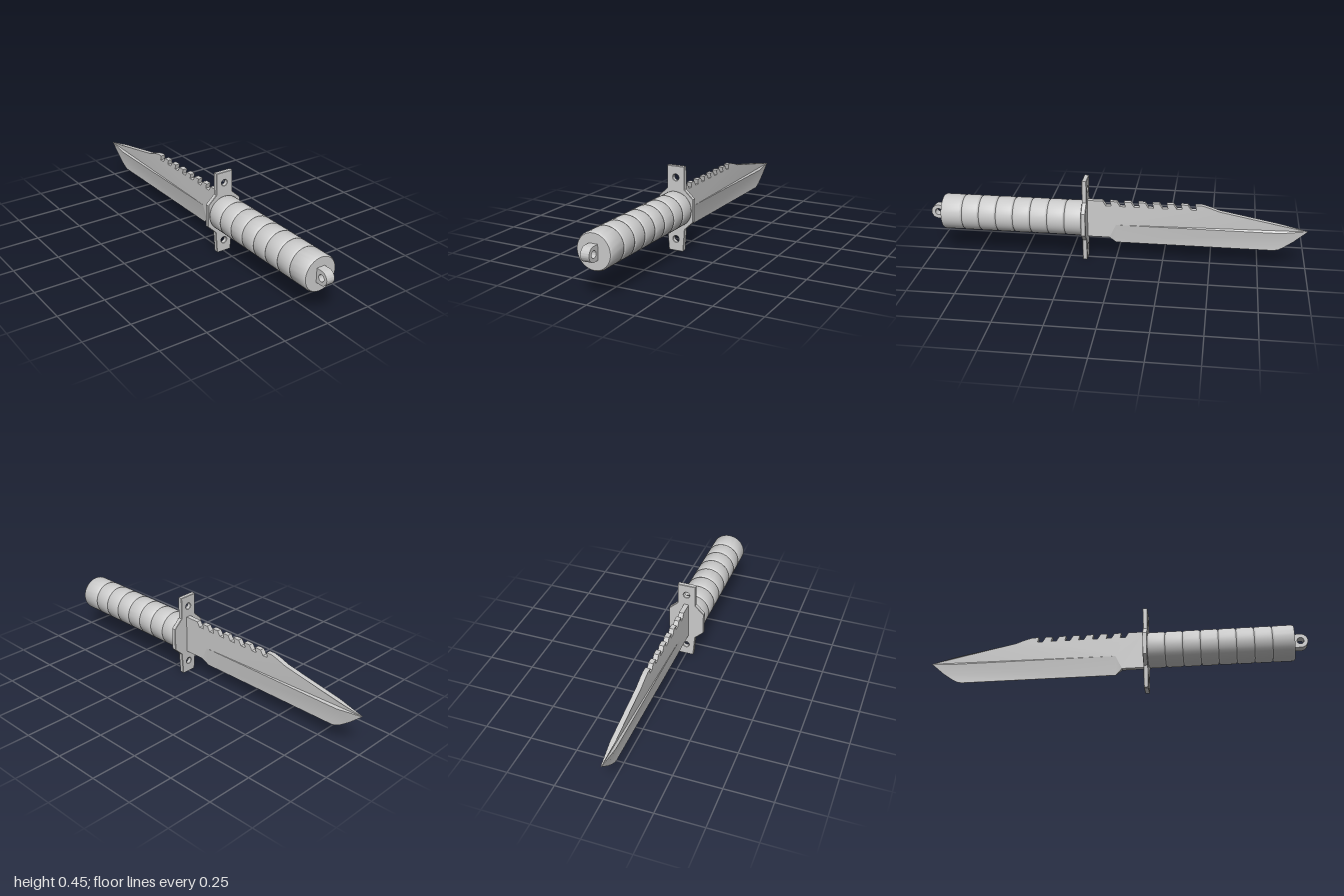
import * as THREE from 'three';
import { toCreasedNormals } from 'three/addons/utils/BufferGeometryUtils.js';

const AXIS_Y = 0.228; // height of the handle axis
const material = new THREE.MeshStandardMaterial({ color: 0xcccccc });

function addMesh(group, name, geometry, crease = 0.6) {
  const mesh = new THREE.Mesh(toCreasedNormals(geometry, crease), material);
  mesh.name = name;
  group.add(mesh);
}

function circleHole(x, y, r) {
  const path = new THREE.Path();
  path.absarc(x, y, r, 0, Math.PI * 2, true);
  return path;
}

// Extrudes a side outline of [z, y] points; halfWidth(z, y) sets the thickness at each point.
function sideSlab(points, halfWidth) {
  const shape = new THREE.Shape(points.map(([z, y]) => new THREE.Vector2(-z, y)));
  const g = new THREE.ExtrudeGeometry(shape, { depth: 1, bevelEnabled: false });
  g.translate(0, 0, -0.5).rotateY(Math.PI / 2);
  const p = g.attributes.position;
  for (let i = 0; i < p.count; i++) {
    p.setX(i, Math.sign(p.getX(i)) * halfWidth(p.getZ(i), p.getY(i)));
  }
  return g;
}

// Thickness stays constant, then narrows towards the tip
const spineWidth = (z) => 0.002 + 0.011 * THREE.MathUtils.clamp((z + 1) / 0.14, 0, 1);

function addBlade(group) {
  // Upper body with saw teeth and clipped point
  const top = 0.333;
  const body = [[0.16, 0.127], [0.16, top]];
  for (let i = 0; i < 7; i++) {
    const z = 0.07 - i * 0.0745;
    body.push([z, top], [z - 0.016, 0.307], [z - 0.045, 0.307], [z - 0.038, top]);
  }
  body.push([-0.45, top], [-0.49, 0.322], [-0.54, 0.304], [-0.86, 0.243], [-1, 0.213],
    [-0.86, 0.2], [0, 0.2], [0.035, 0.127]);
  addMesh(group, 'bladeBody', sideSlab(body, spineWidth), 0.3);

  // Ground bevel down to the cutting edge
  const bevel = [[0.035, 0.127], [0, 0.2], [-0.86, 0.2], [-1, 0.213],
    [-0.93, 0.151], [-0.88, 0.115], [-0.855, 0.101], [-0.83, 0.095], [0, 0.095]];
  const isEdge = (z, y) => y < 0.12 || (z < -0.84 && y < 0.19);
  addMesh(group, 'bladeBevel',
    sideSlab(bevel, (z, y) => (isEdge(z, y) ? 0.001 : spineWidth(z))), 0.3);
}

function addGuard(group) {
  // Half outline, mirrored to the other side
  const half = [[0.037, 0.002], [0.04, 0.005], [0.049, 0.122], [0.096, 0.167],
    [0.096, 0.287], [0.047, 0.333], [0.047, 0.451]];
  const mirrored = half.map(([x, y]) => [-x, y]).reverse();
  const shape = new THREE.Shape([...half, ...mirrored].map(([x, y]) => new THREE.Vector2(x, y)));
  shape.holes.push(circleHole(0, 0.393, 0.019), circleHole(0, 0.064, 0.019));
  const g = new THREE.ExtrudeGeometry(shape, {
    depth: 0.02, bevelThickness: 0.002, bevelSize: 0.002, bevelSegments: 1, curveSegments: 16,
  });
  addMesh(group, 'guard', g.translate(0, 0, 0.153));
}

function addHandle(group) {
  // Stacked rings with rounded shoulders, turned about the handle axis
  const R = 0.094, rings = 8, pitch = 0.092, start = 0.174;
  const profile = [[0, start]];
  for (let i = 0; i < rings; i++) {
    const a = start + i * pitch;
    const b = i === rings - 1 ? 0.93 : a + pitch;
    profile.push([R - 0.008, a], [R - 0.003, a + 0.003], [R, a + 0.01],
      [R, b - 0.01], [R - 0.003, b - 0.003]);
  }
  profile.push([R - 0.006, 0.93], [0, 0.93]);
  const g = new THREE.LatheGeometry(profile.map(([r, z]) => new THREE.Vector2(r, z)), 40);
  g.rotateX(Math.PI / 2).translate(0, AXIS_Y, 0);
  addMesh(group, 'handle', g, 0.75);
}

function addLanyardLoop(group) {
  // Rounded lug with a cross hole
  const r = 0.0375, z = 1 - r, y = 0.229;
  const shape = new THREE.Shape();
  shape.moveTo(-0.92, y - r);
  shape.lineTo(-0.92, y + r);
  shape.lineTo(-z, y + r);
  shape.absarc(-z, y, r, Math.PI / 2, Math.PI * 1.5, false);
  shape.holes.push(circleHole(-z, y, 0.018));
  const g = new THREE.ExtrudeGeometry(shape, { depth: 0.046, bevelEnabled: false, curveSegments: 16 });
  addMesh(group, 'lanyardLoop', g.translate(0, 0, -0.023).rotateY(Math.PI / 2));
}

export function createModel() {
  const knife = new THREE.Group();
  knife.name = 'knife';
  addBlade(knife);
  addGuard(knife);
  addHandle(knife);
  addLanyardLoop(knife);
  return knife;
}
